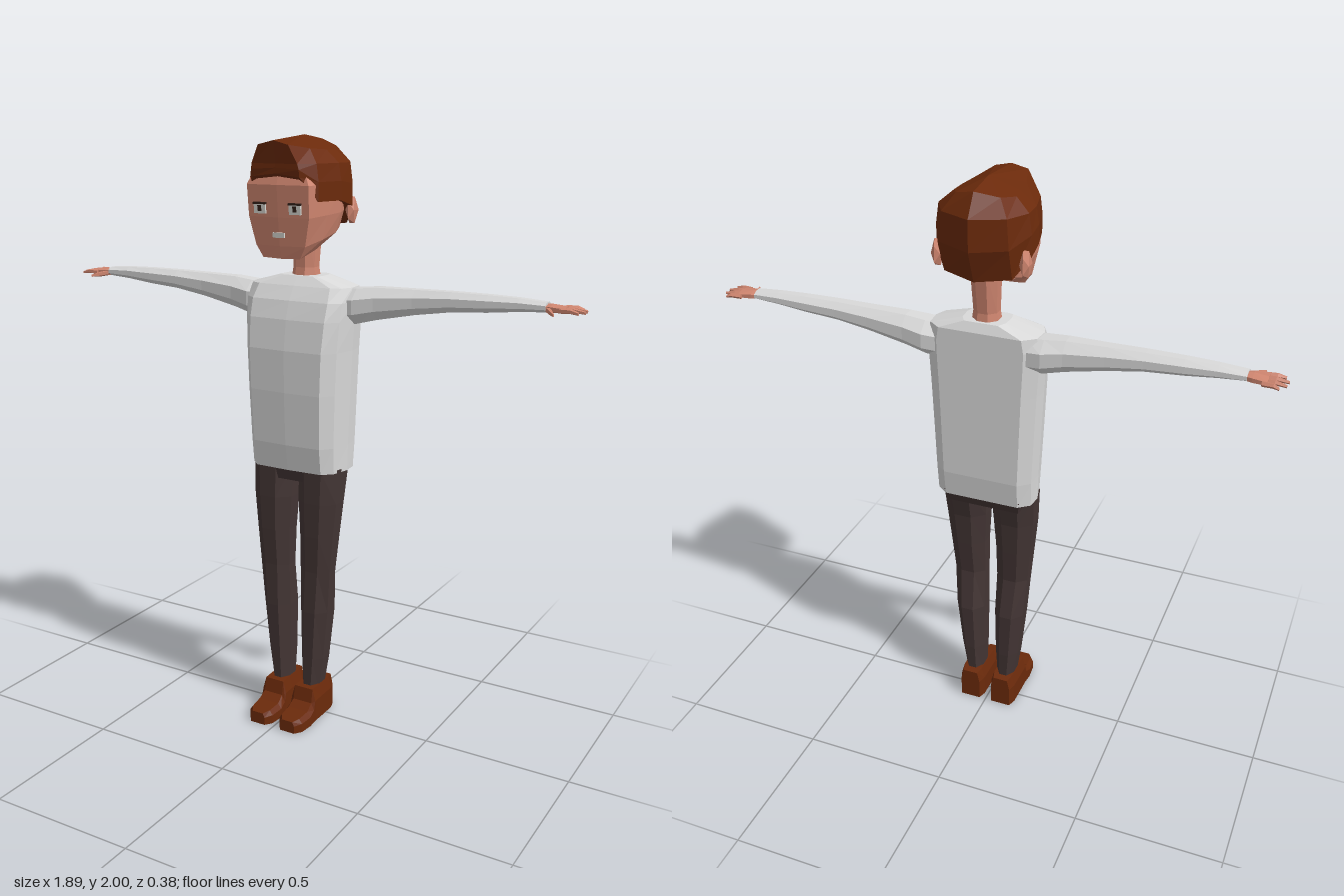
import * as THREE from 'three';

const paint = (name, color) => {
  const m = new THREE.MeshStandardMaterial({ color, flatShading: true });
  m.name = name;
  return m;
};

// Closed skin over a list of rings, faceted and facing outward.
function loft(rings, endTip) {
  const pos = [];
  const tri = (a, b, c) => pos.push(...a, ...b, ...c);
  const n = rings[0].length;
  const centre = r => [0, 1, 2].map(k => r.reduce((s, p) => s + p[k], 0) / n);
  for (let i = 0; i < rings.length - 1; i++) {
    for (let j = 0; j < n; j++) {
      const k = (j + 1) % n, a = rings[i], b = rings[i + 1];
      tri(a[j], a[k], b[k]);
      tri(a[j], b[k], b[j]);
    }
  }
  const first = rings[0], last = rings[rings.length - 1];
  const c0 = centre(first), c1 = endTip || centre(last);
  for (let j = 0; j < n; j++) {
    const k = (j + 1) % n;
    tri(c0, first[k], first[j]);
    tri(c1, last[j], last[k]);
  }
  // A negative enclosed volume means the corners run the wrong way
  let volume = 0;
  const v = i => new THREE.Vector3().fromArray(pos, i);
  for (let i = 0; i < pos.length; i += 9) volume += v(i).dot(v(i + 3).cross(v(i + 6)));
  if (volume < 0) {
    for (let i = 0; i < pos.length; i += 9) {
      for (let k = 0; k < 3; k++) [pos[i + 3 + k], pos[i + 6 + k]] = [pos[i + 6 + k], pos[i + 3 + k]];
    }
  }
  const g = new THREE.BufferGeometry();
  g.setAttribute('position', new THREE.Float32BufferAttribute(pos, 3));
  g.computeVertexNormals();
  return g;
}

// Complete a half ring (front middle round the left side to back middle).
const mirrorRing = half => [...half, ...half.slice(1, -1).reverse().map(([x, y, z]) => [-x, y, z])];

// Round ring lying flat, for legs and neck.
const flatRing = (x, y, z, rx, rz, n) => Array.from({ length: n }, (_, i) => {
  const a = ((i + 0.5) / n) * Math.PI * 2;
  return [x + Math.cos(a) * rx, y, z + Math.sin(a) * rz];
});

// Round ring facing along x, for arms and fingers.
const sideRing = (x, y, z, ry, rz, n) => Array.from({ length: n }, (_, i) => {
  const a = ((i + 0.5) / n) * Math.PI * 2;
  return [x, y + Math.sin(a) * ry, z + Math.cos(a) * rz];
});

export function createModel() {
  const root = new THREE.Group();
  root.name = 'standingMan';
  const skin = paint('skin', 0xd08670);
  const hairBrown = paint('hairBrown', 0x6b2a0b);
  const shirt = paint('shirtGrey', 0xd9d9d9);
  const cloth = paint('trouserBrown', 0x443635);
  const white = paint('eyeWhite', 0xdcdcd6);
  const dark = paint('eyeDark', 0x33211a);

  const add = (name, geometry, material, parent = root) => {
    const mesh = new THREE.Mesh(geometry, material);
    mesh.name = name;
    parent.add(mesh);
    return mesh;
  };

  // Shirt body: height, half width, front z, back z
  add('shirtBody', loft([
    [0.91, 0.172, 0.08, -0.1], [1.0, 0.174, 0.095, -0.11], [1.18, 0.181, 0.104, -0.11],
    [1.32, 0.187, 0.104, -0.11], [1.42, 0.193, 0.09, -0.11], [1.48, 0.195, 0.07, -0.11],
    [1.525, 0.185, 0.04, -0.11], [1.555, 0.075, 0.012, -0.095],
  ].map(([y, w, f, b]) => mirrorRing([
    [0, y, f], [w * 0.72, y, f * 0.95], [w * 0.91, y, f * 0.55], [w, y, -0.02],
    [w * 0.97, y, b * 0.7], [w * 0.75, y, b], [0, y, b],
  ]))), shirt);

  // Hips closing the trousers under the shirt
  add('hips', loft([[0.87, 0.155, 0.062, -0.075], [0.925, 0.168, 0.072, -0.1]].map(([y, w, f, b]) => mirrorRing([
    [0, y, f], [w * 0.75, y, f], [w, y, 0], [w * 0.8, y, b], [0, y, b],
  ]))), cloth);

  // Neck and head
  add('neck', loft([
    flatRing(0, 1.52, -0.042, 0.052, 0.05, 8), flatRing(0, 1.58, -0.042, 0.043, 0.042, 8),
    flatRing(0, 1.74, -0.05, 0.05, 0.055, 8),
  ]), skin);
  // Height, face half width, head half width, front z, back z, rise towards the back
  add('head', loft([
    [1.62, 0.068, 0.095, 0.118, -0.08, 0.08], [1.66, 0.09, 0.122, 0.125, -0.105, 0.06],
    [1.75, 0.11, 0.14, 0.135, -0.13, 0.02], [1.85, 0.112, 0.145, 0.143, -0.15, 0],
    [1.93, 0.075, 0.1, 0.12, -0.13, 0],
  ].map(([y, fw, w, f, b, rise]) => mirrorRing([
    [0, f], [fw, f - 0.004], [w * 0.93, 0.05], [w, -0.02], [w * 0.88, -0.07], [w * 0.55, b + 0.02], [0, b],
  ].map(([x, z]) => [x, y + rise * (f - z) / (f - b), z])))), skin);

  // Hair columns: x, z, lower edge y and z, crown y
  const columns = [
    [0, 0.15, 1.885, 0.149, 1.985], [0.085, 0.152, 1.875, 0.148, 1.972], [0.126, 0.1, 1.8, 0.1, 1.96],
    [0.151, 0, 1.8, 0, 1.955], [0.154, -0.07, 1.78, -0.07, 1.955], [0.11, -0.145, 1.72, -0.115, 1.965],
    [0, -0.19, 1.71, -0.15, 1.985],
  ];
  add('hair', loft([
    mirrorRing(columns.map(([x, , y, z]) => [x, y, z])),
    mirrorRing(columns.map(([x, z, y]) => [x, (y + 1.92) / 2, z])),
    mirrorRing(columns.map(([x, z]) => [x * 0.94, 1.915, z])),
    mirrorRing(columns.map(([x, z, , , y]) => [x * 0.64, y, z > 0.12 ? z * 1.08 : z * 0.76])),
  ], [0, 2, -0.03]), hairBrown);

  // Thin plates lying on the face
  const faceZ = y => 0.122 + (y - 1.62) * 0.1;
  const plate = (name, x, y, w, h, lift, material) => {
    const mesh = add(name, new THREE.BoxGeometry(w, h, 0.008), material);
    mesh.position.set(x, y, faceZ(y) + lift);
    mesh.rotation.x = 0.1;
  };
  plate('mouth', 0, 1.695, 0.042, 0.016, 0, white);

  for (const s of [1, -1]) {
    const side = new THREE.Group();
    side.name = s > 0 ? 'leftSide' : 'rightSide';
    root.add(side);
    const flip = rings => rings.map(r => r.map(([x, y, z]) => [x * s, y, z]));
    const addSide = (name, rings, material) => add(name, loft(flip(rings)), material, side);

    plate('eye', s * 0.064, 1.776, 0.042, 0.03, 0, white);
    plate('iris', s * 0.064, 1.778, 0.013, 0.018, 0.002, dark);
    plate('upperEyelid', s * 0.064, 1.793, 0.046, 0.006, 0.002, dark);

    const ear = add('ear', new THREE.IcosahedronGeometry(1, 0), skin, side);
    ear.scale.set(0.018, 0.05, 0.032);
    ear.position.set(s * 0.143, 1.765, -0.088);

    // Sleeve: x, y, z, half height, half depth
    addSide('sleeve', [
      [0.14, 1.46, -0.045, 0.062, 0.062], [0.2, 1.466, -0.046, 0.062, 0.07], [0.27, 1.478, -0.048, 0.056, 0.058],
      [0.4, 1.492, -0.05, 0.043, 0.047], [0.52, 1.502, -0.05, 0.034, 0.042], [0.64, 1.506, -0.051, 0.029, 0.038],
      [0.74, 1.51, -0.052, 0.022, 0.033], [0.825, 1.51, -0.052, 0.016, 0.03],
    ].map(p => sideRing(...p, 8)), shirt);

    // Hand
    addSide('palm', [
      [0.805, 1.508, -0.052, 0.011, 0.022], [0.84, 1.507, -0.052, 0.014, 0.032], [0.885, 1.506, -0.053, 0.011, 0.037],
    ].map(p => sideRing(...p, 6)), skin);
    [[-0.086, -0.096, 0.922], [-0.064, -0.07, 0.94], [-0.042, -0.042, 0.943], [-0.022, -0.014, 0.93]]
      .forEach(([z0, z1, tip]) => addSide('finger', [
        sideRing(0.87, 1.506, z0, 0.009, 0.01, 5), sideRing(0.905, 1.507, (z0 + z1) / 2, 0.008, 0.009, 5),
        sideRing(tip, 1.502, z1, 0.005, 0.005, 5),
      ], skin));
    addSide('thumb', [
      sideRing(0.828, 1.505, -0.035, 0.01, 0.014, 5), sideRing(0.85, 1.5, -0.008, 0.009, 0.012, 5),
      sideRing(0.866, 1.497, 0.018, 0.005, 0.006, 5),
    ], skin);

    // Trouser leg: x, y, z, half width, half depth
    addSide('trouserLeg', [
      [0.06, 0.1, 0.004, 0.034, 0.052], [0.066, 0.22, 0.002, 0.046, 0.06], [0.074, 0.4, 0.002, 0.057, 0.067],
      [0.08, 0.55, 0.013, 0.062, 0.052], [0.085, 0.68, 0.01, 0.069, 0.063], [0.087, 0.8, 0.006, 0.079, 0.07],
      [0.088, 0.92, -0.008, 0.084, 0.083],
    ].map(p => flatRing(...p, 8)), cloth);

    // Shoe: z, half width, height
    addSide('shoe', [
      [-0.07, 0.036, 0.115], [-0.04, 0.046, 0.12], [0.03, 0.047, 0.12], [0.075, 0.047, 0.118],
      [0.085, 0.048, 0.07], [0.115, 0.051, 0.052], [0.165, 0.046, 0.047], [0.19, 0.028, 0.042],
    ].map(([z, w, h]) => [[-w, 0], [w, 0], [w, h * 0.65], [w * 0.75, h], [-w * 0.75, h], [-w, h * 0.65]]
      .map(([x, y]) => [0.06 + x, y, z])), hairBrown);
  }
  return root;
}
